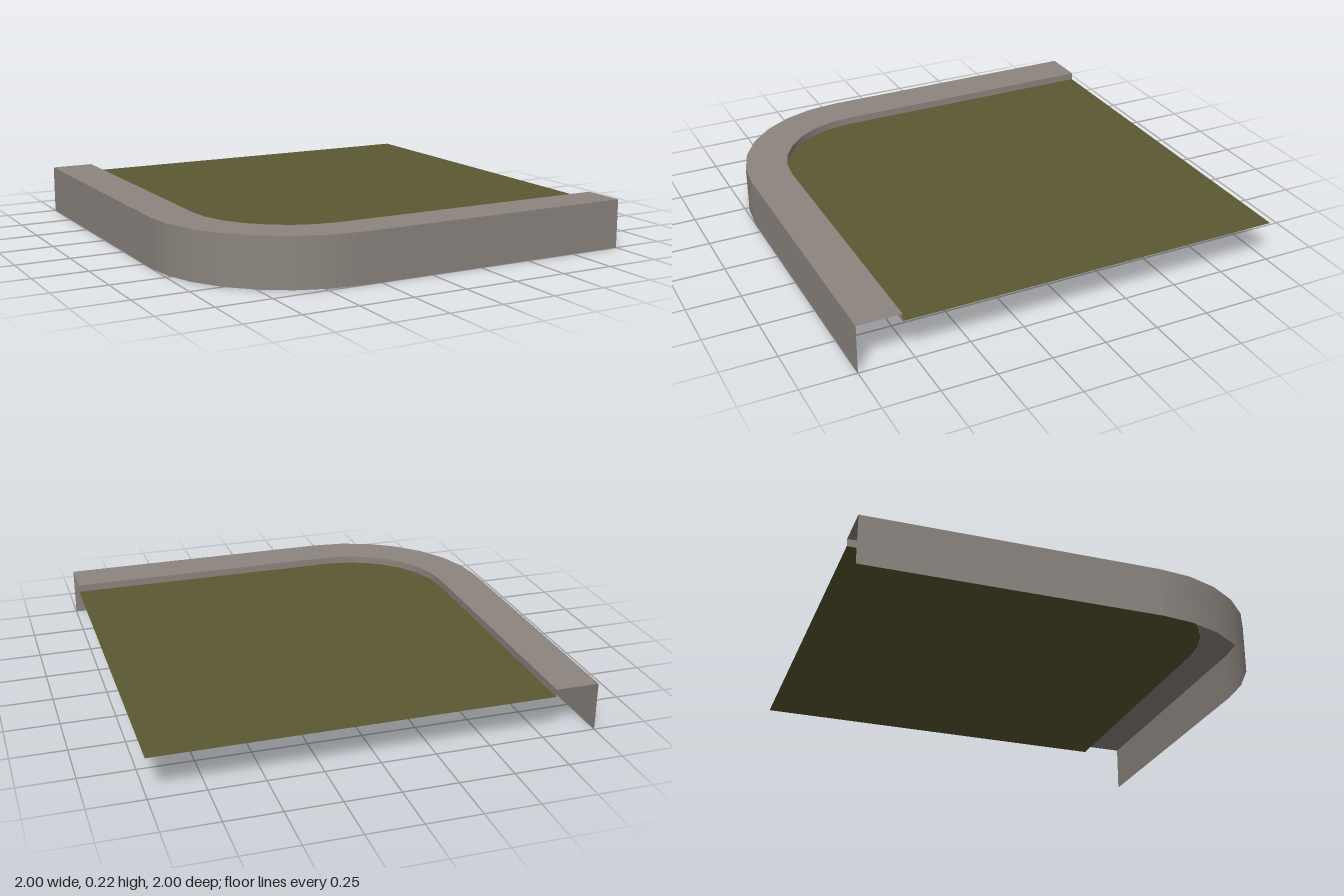
import * as THREE from 'three';

const TOP = 0.225, FLOOR = 0.19;      // kerb top and ground heights
const OUTER = 0.67, INNER = 0.47;     // corner radii
const CX = -0.33, CZ = 0.33;          // corner centre
const STEPS = 7;

// Stations along the kerb: back end, rounded corner, right-hand end.
// Each holds a base point and the outward direction.
function stations() {
  const list = [{ x: CX, z: -1, dx: -1, dz: 0 }];
  for (let i = 0; i <= STEPS; i++) {
    const a = (i / STEPS) * Math.PI / 2;
    list.push({ x: CX, z: CZ, dx: -Math.cos(a), dz: Math.sin(a) });
  }
  list.push({ x: 1, z: CZ, dx: 0, dz: 1 });
  return list;
}

// Sweeps one straight profile edge, (radius, height) to (radius, height), along the kerb
function sweep(path, [r1, y1], [r2, y2]) {
  const pos = [], nor = [], idx = [];
  const len = Math.hypot(r2 - r1, y2 - y1);
  const out = (y2 - y1) / len, up = (r1 - r2) / len;
  path.forEach((p, i) => {
    for (const [r, y] of [[r1, y1], [r2, y2]]) {
      pos.push(p.x + p.dx * r, y, p.z + p.dz * r);
      nor.push(p.dx * out, up, p.dz * out);
    }
    if (i < path.length - 1) {
      const a = i * 2;
      idx.push(a, a + 2, a + 1, a + 1, a + 2, a + 3);
    }
  });
  const g = new THREE.BufferGeometry();
  g.setAttribute('position', new THREE.Float32BufferAttribute(pos, 3));
  g.setAttribute('normal', new THREE.Float32BufferAttribute(nor, 3));
  g.setIndex(idx);
  return g;
}

export function createModel() {
  const stone = new THREE.MeshStandardMaterial({ color: 0x8c857f, side: THREE.DoubleSide });
  stone.name = 'stone';
  const ground = new THREE.MeshStandardMaterial({ color: 0x5a5833, side: THREE.DoubleSide });
  ground.name = 'olive ground';

  const model = new THREE.Group();
  model.name = 'kerbCornerTile';
  const add = (name, geometry, material) => {
    const mesh = new THREE.Mesh(geometry, material);
    mesh.name = name;
    model.add(mesh);
  };

  // Open kerb shell: outer wall, flat top and low inner lip
  const path = stations();
  add('outerWall', sweep(path, [OUTER, 0], [OUTER, TOP]), stone);
  add('kerbTop', sweep(path, [OUTER, TOP], [INNER, TOP]), stone);
  add('innerLip', sweep(path, [INNER, TOP], [INNER, FLOOR]), stone);

  // Flat ground sheet filling the area inside the kerb
  const outline = path.map(p => new THREE.Vector2(p.x + p.dx * INNER, -(p.z + p.dz * INNER)));
  outline.push(new THREE.Vector2(1, 1));
  const sheet = new THREE.ShapeGeometry(new THREE.Shape(outline));
  sheet.rotateX(-Math.PI / 2);
  sheet.translate(0, FLOOR, 0);
  add('groundSheet', sheet, ground);

  return model;
}
